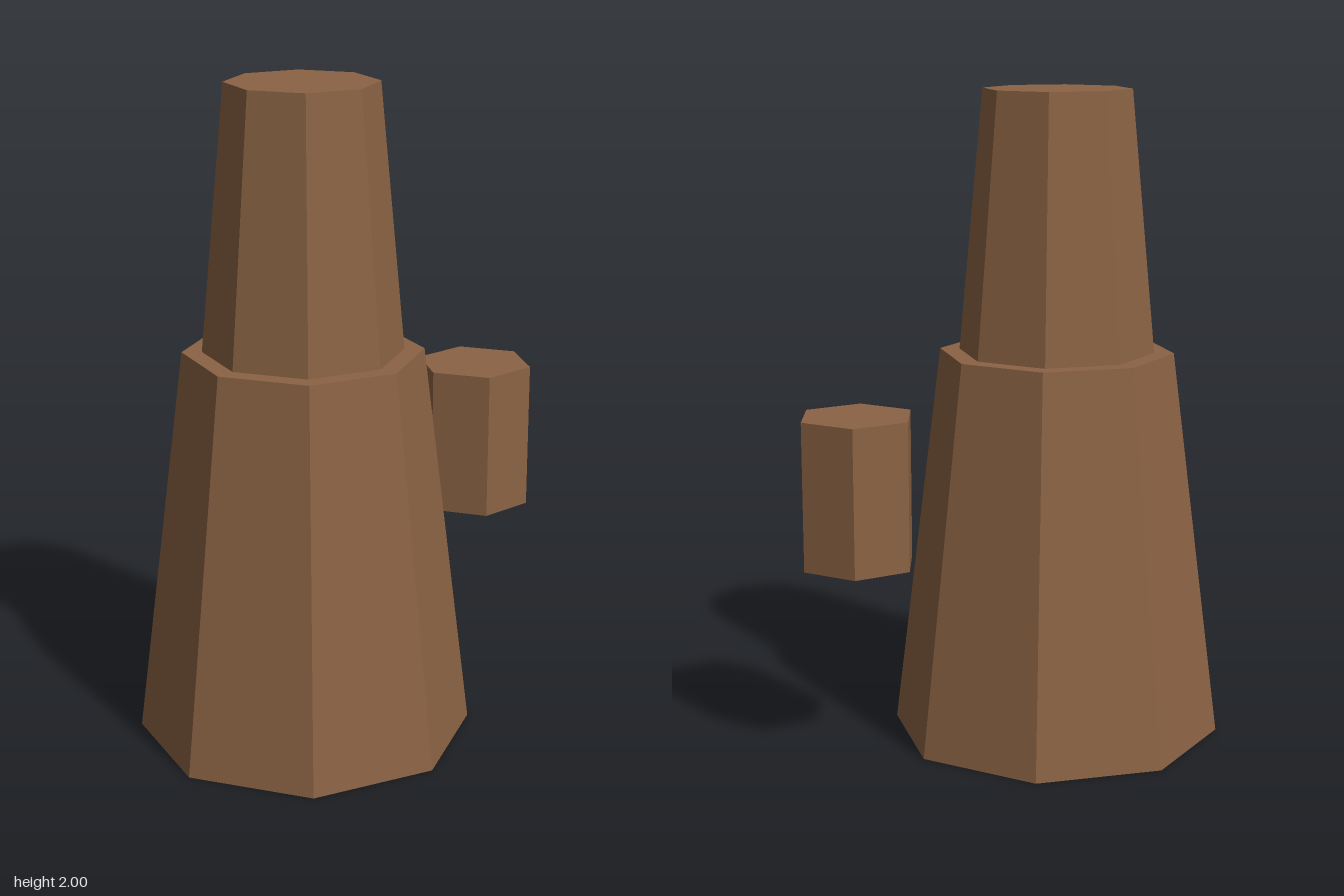
import * as THREE from 'three';

export function createModel() {
  const group = new THREE.Group();
  const bark = new THREE.MeshStandardMaterial({ color: 0x8b6344, flatShading: true });

  // Upright faceted section standing between heights y0 and y1
  function section(name, rTop, rBottom, y0, y1, sides, x, z, turn = 0) {
    const mesh = new THREE.Mesh(new THREE.CylinderGeometry(rTop, rBottom, y1 - y0, sides), bark);
    mesh.name = name;
    mesh.position.set(x, (y0 + y1) / 2, z);
    mesh.rotation.y = turn;
    group.add(mesh);
  }

  // Tapered trunk in two steps
  section('lowerTrunk', 0.36, 0.511, 0, 1.205, 8, -0.152, 0);
  section('upperTrunk', 0.226, 0.3, 1.205, 2, 8, -0.152, 0);

  // Short six-sided stub beside the trunk
  section('sideStub', 0.18, 0.18, 0.605, 1.058, 6, 0.483, 0.15, 0.4);

  return group;
}
